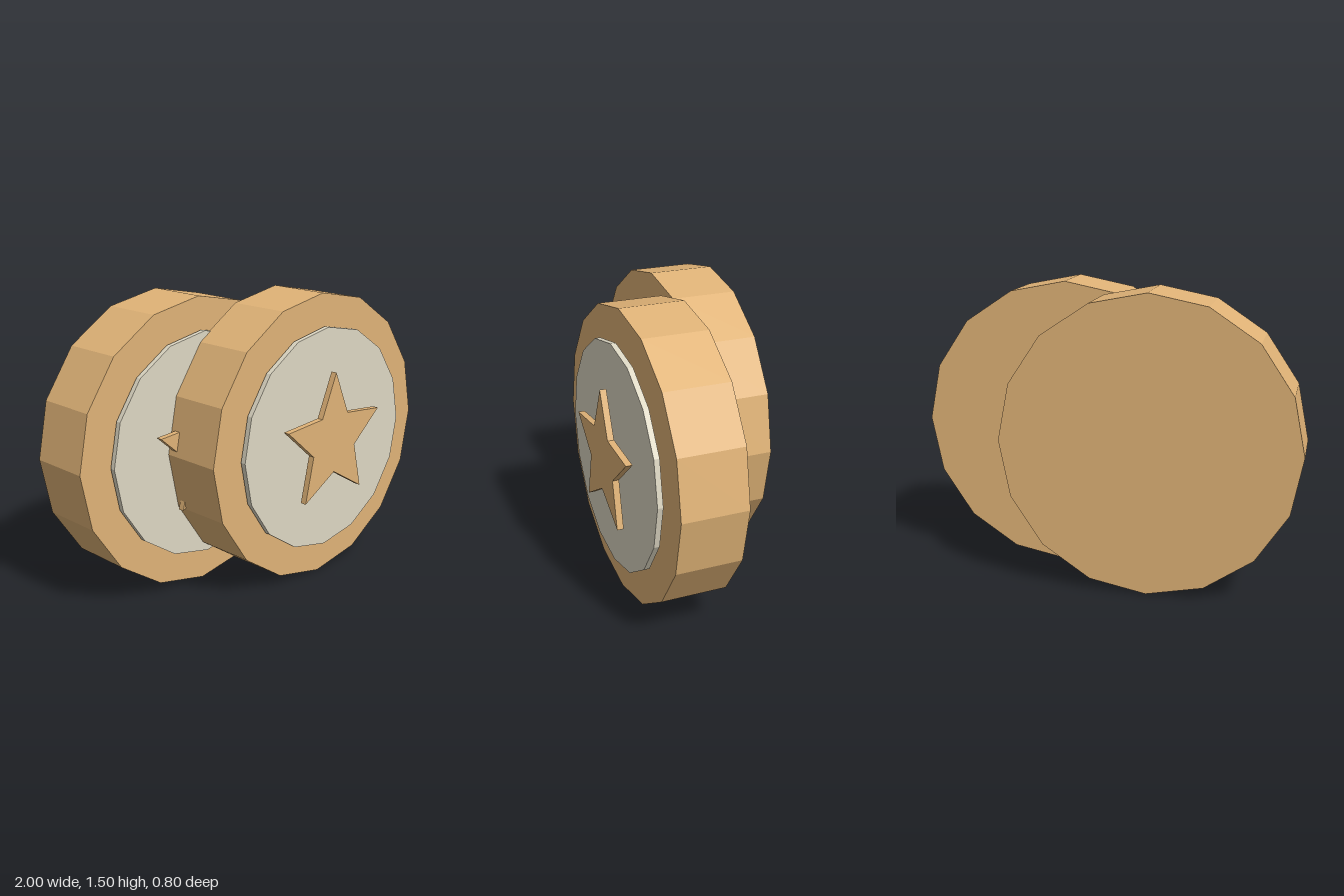
import * as THREE from 'three';

const gold = new THREE.MeshStandardMaterial({ color: 0xe0b377, flatShading: true });
gold.name = 'gold';
const silver = new THREE.MeshStandardMaterial({ color: 0xddd7c3, flatShading: true });
silver.name = 'pale silver';

// Sixteen-sided disc facing +z, spanning z0 to z1
function disc(name, radius, z0, z1, material) {
  const geometry = new THREE.CylinderGeometry(radius, radius, z1 - z0, 16);
  geometry.rotateX(Math.PI / 2);
  const mesh = new THREE.Mesh(geometry, material);
  mesh.name = name;
  mesh.position.z = (z0 + z1) / 2;
  return mesh;
}

// Five-pointed star plate with its first point up
function star(outer, inner, z0, z1) {
  const points = [];
  for (let i = 0; i < 10; i++) {
    const a = Math.PI / 2 + (i * Math.PI) / 5;
    const r = i % 2 ? inner : outer;
    points.push(new THREE.Vector2(r * Math.cos(a), r * Math.sin(a)));
  }
  const geometry = new THREE.ExtrudeGeometry(new THREE.Shape(points), { depth: z1 - z0, bevelEnabled: false });
  const mesh = new THREE.Mesh(geometry, gold);
  mesh.name = 'star';
  mesh.position.z = z0;
  return mesh;
}

// Coin body with a raised face plate and star emblem
function coin(name, x, z) {
  const group = new THREE.Group();
  group.name = name;
  group.add(
    disc('coinBody', 0.75, -0.333, 0, gold),
    disc('facePlate', 0.583, 0.014, 0.042, silver),
    star(0.36, 0.165, 0.067, 0.1)
  );
  group.position.set(x, 0.75, z);
  return group;
}

export function createModel() {
  const model = new THREE.Group();
  model.name = 'coinPair';
  model.add(coin('frontCoin', 0.25, 0.3), coin('backCoin', -0.25, -0.067));
  return model;
}
